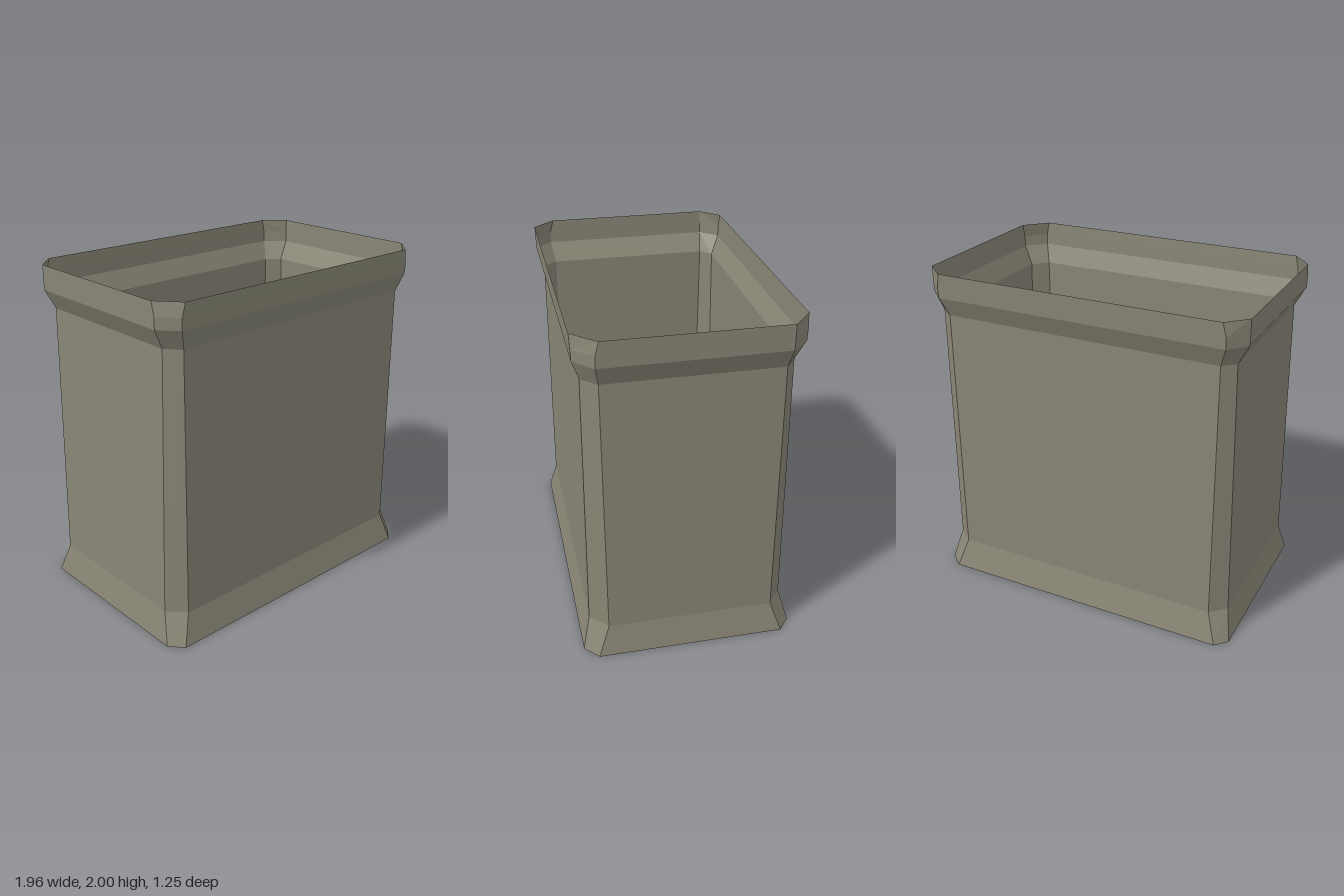
import * as THREE from 'three';

// Eight-cornered cross-sections from bottom to top:
// height, side extents (-x, +x, -z, +z), then where the chamfers start on each side
const sections = [
  { y: 0.00, x: [-0.98, 0.975], z: [-0.625, 0.625], cx: [-0.91, 0.89], cz: [-0.555, 0.545] },
  { y: 0.185, x: [-0.94, 0.935], z: [-0.575, 0.58], cx: [-0.85, 0.83], cz: [-0.49, 0.48] },
  { y: 1.74, x: [-0.91, 0.915], z: [-0.56, 0.575], cx: [-0.84, 0.83], cz: [-0.495, 0.49] },
  { y: 1.855, x: [-0.97, 0.97], z: [-0.61, 0.615], cx: [-0.88, 0.86], cz: [-0.505, 0.51] },
  { y: 1.92, x: [-0.97, 0.97], z: [-0.612, 0.617], cx: [-0.88, 0.86], cz: [-0.505, 0.51] },
  { y: 2.00, x: [-0.97, 0.97], z: [-0.615, 0.62], cx: [-0.86, 0.845], cz: [-0.505, 0.49] },
];

// Corner loop of one section, running from +x towards +z
function ring({ y, x, z, cx, cz }) {
  return [
    [x[1], y, cz[0]], [x[1], y, cz[1]],
    [cx[1], y, z[1]], [cx[0], y, z[1]],
    [x[0], y, cz[1]], [x[0], y, cz[0]],
    [cx[0], y, z[0]], [cx[1], y, z[0]],
  ];
}

// Flat-faced open band between successive sections
function band(list) {
  const positions = [];
  for (let s = 0; s < list.length - 1; s++) {
    const low = ring(list[s]);
    const high = ring(list[s + 1]);
    for (let i = 0; i < 8; i++) {
      const j = (i + 1) % 8;
      for (const p of [low[i], high[i], low[j], low[j], high[i], high[j]]) positions.push(...p);
    }
  }
  const geometry = new THREE.BufferGeometry();
  geometry.setAttribute('position', new THREE.Float32BufferAttribute(positions, 3));
  geometry.computeVertexNormals();
  return geometry;
}

export function createModel() {
  const model = new THREE.Group();
  model.name = 'openSleeve';
  const stone = new THREE.MeshStandardMaterial({ color: 0x888575, side: THREE.DoubleSide, flatShading: true });
  stone.name = 'greyOlive';

  // Flared foot, tall wall and projecting rim; open at top and bottom
  const parts = { foot: [0, 2], wall: [1, 3], rim: [2, 6] };
  for (const [name, [from, to]] of Object.entries(parts)) {
    const mesh = new THREE.Mesh(band(sections.slice(from, to)), stone);
    mesh.name = name;
    model.add(mesh);
  }
  return model;
}
